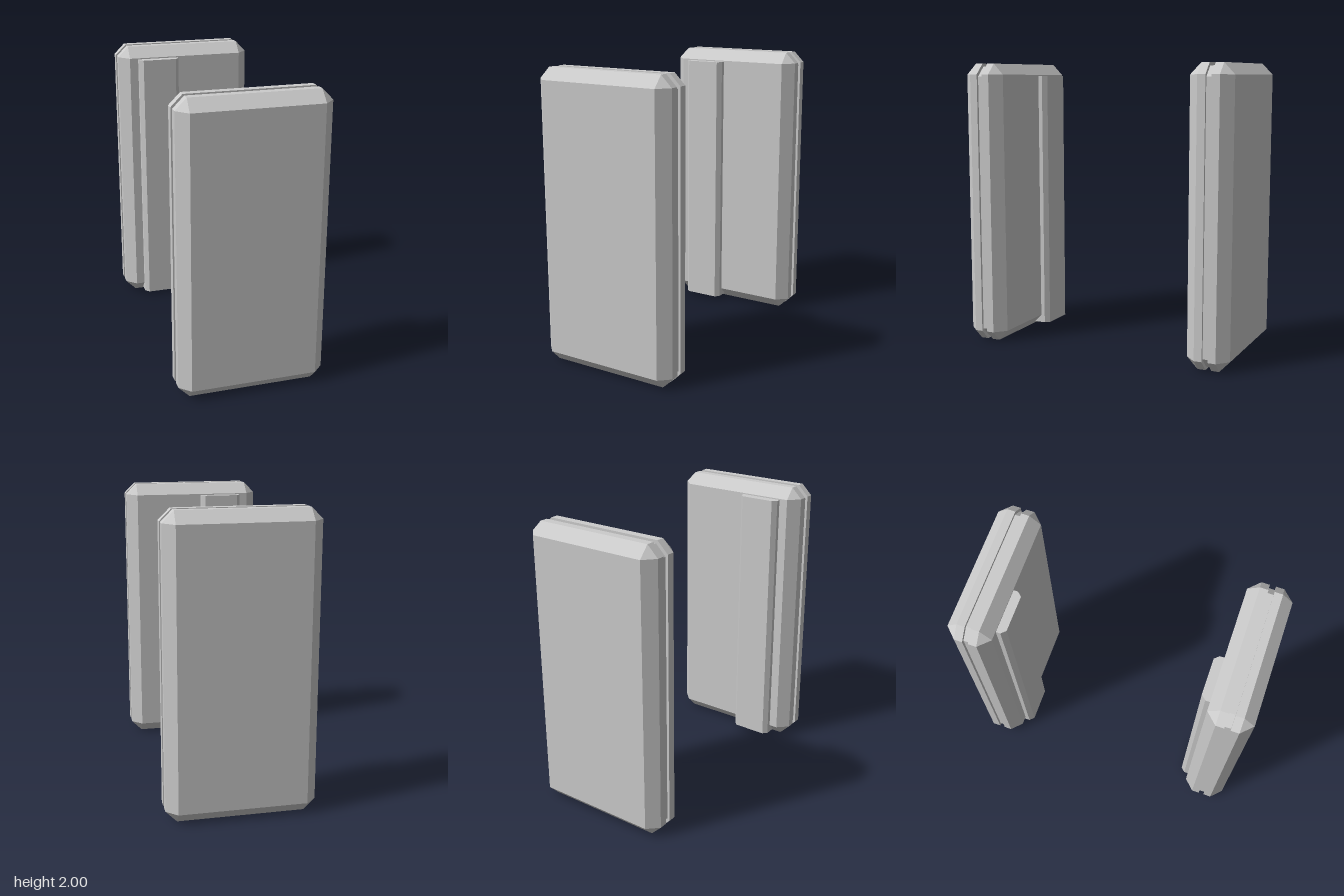
import * as THREE from 'three';

const material = new THREE.MeshStandardMaterial({ color: 0xcccccc, flatShading: true });

// Rectangle with chamfered corners, counter-clockwise seen from +z
function ring([z, w, h, c]) {
  return [
    [w, -h + c], [w, h - c], [w - c, h], [-w + c, h],
    [-w, h - c], [-w, -h + c], [-w + c, -h], [w - c, -h],
  ].map(([x, y]) => new THREE.Vector3(x, y, z));
}

// Skin a stack of rings ordered from low z to high z, capped at both ends
function loft(sections) {
  const rings = sections.map(ring);
  const pos = [];
  const tri = (a, b, c) => {
    if (new THREE.Triangle(a, b, c).getArea() < 1e-7) return;
    for (const p of [a, b, c]) pos.push(p.x, p.y, p.z);
  };
  for (let r = 0; r < rings.length - 1; r++) {
    const lo = rings[r], hi = rings[r + 1];
    for (let i = 0; i < 8; i++) {
      const j = (i + 1) % 8;
      tri(lo[i], lo[j], hi[j]);
      tri(lo[i], hi[j], hi[i]);
    }
  }
  const first = rings[0], last = rings[rings.length - 1];
  for (let i = 1; i < 7; i++) {
    tri(first[0], first[i + 1], first[i]);
    tri(last[0], last[i], last[i + 1]);
  }
  const geo = new THREE.BufferGeometry();
  geo.setAttribute('position', new THREE.Float32BufferAttribute(pos, 3));
  geo.computeVertexNormals();
  return geo;
}

// Bevelled slab with a shallow groove running around its rim
function slabGeometry() {
  const half = [
    [0.149, 0.427, 0.923, 0],
    [0.075, 0.5, 1, 0.075],
    [0.02, 0.5, 1, 0.075],
    [0.02, 0.483, 0.98, 0.07],
  ];
  const back = half.map(([z, ...rest]) => [-z, ...rest]);
  return loft([...back, ...half.reverse()]);
}

// Upright strip with two chamfered edges, set into the inner face of a slab
function stripGeometry(side) {
  const profile = [
    [-0.365, 0.76], [-0.365, 0.667], [-0.336, 0.636],
    [-0.09, 0.636], [-0.062, 0.667], [-0.062, 0.76],
  ];
  const shape = new THREE.Shape(profile.map(([x, z]) => new THREE.Vector2(x, -side * z)));
  const geo = new THREE.ExtrudeGeometry(shape, { depth: 1.895, bevelEnabled: false });
  return geo.rotateX(-Math.PI / 2).translate(0, 0.02, 0);
}

export function createModel() {
  const model = new THREE.Group();
  model.name = 'slabPair';
  const slabGeo = slabGeometry();

  // Two facing panels, mirrored front to back
  for (const [label, side] of [['front', 1], ['back', -1]]) {
    const panel = new THREE.Group();
    panel.name = label + 'Panel';

    const slab = new THREE.Mesh(slabGeo, material);
    slab.name = label + 'Slab';
    slab.position.set(0, 1, side * 0.846);

    const strip = new THREE.Mesh(stripGeometry(side), material);
    strip.name = label + 'InnerStrip';

    panel.add(slab, strip);
    model.add(panel);
  }
  return model;
}
